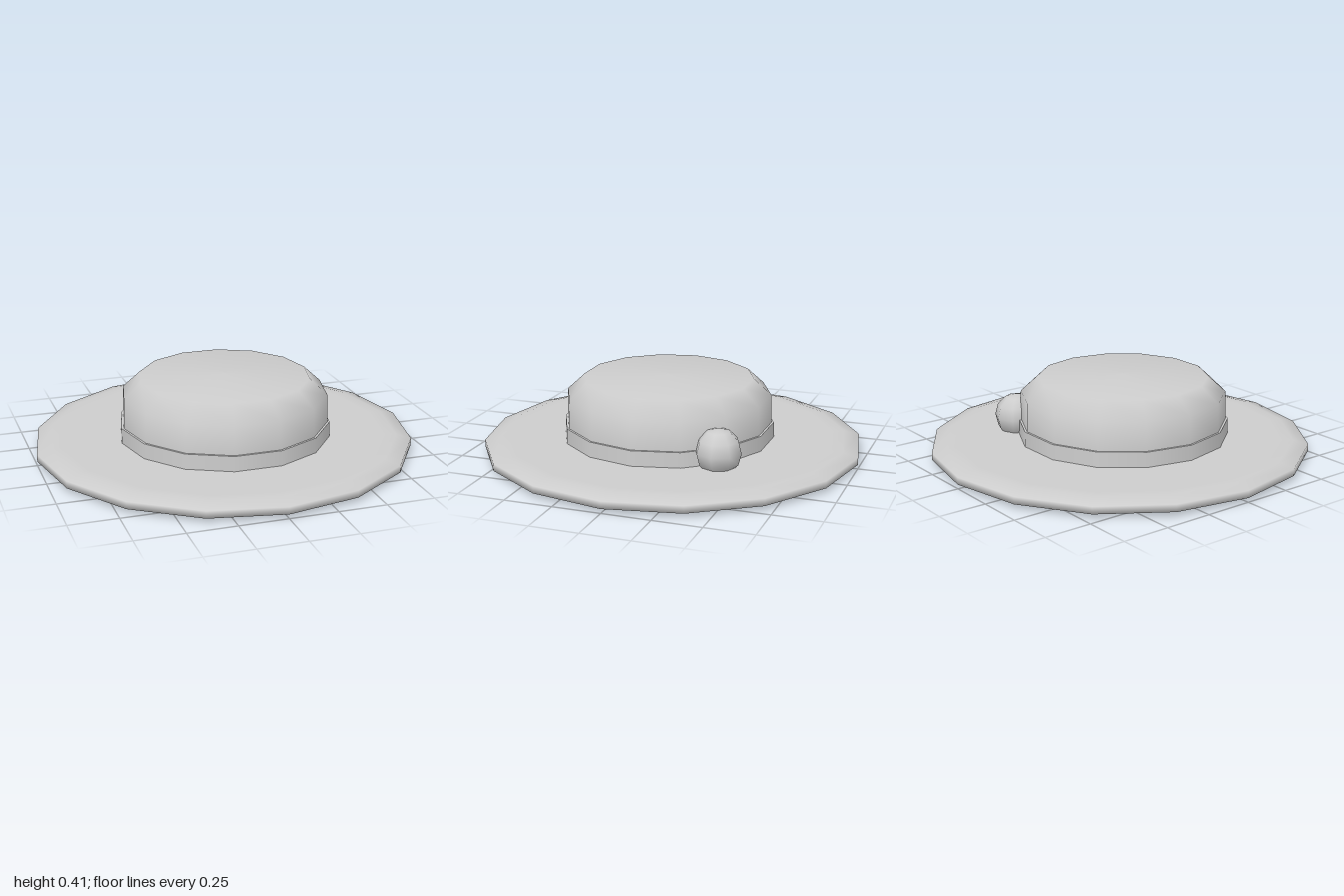
import * as THREE from 'three';

export function createModel() {
  const hat = new THREE.Group();
  hat.name = 'hat';
  const felt = new THREE.MeshStandardMaterial({ color: 0xcccccc });
  felt.name = 'grey felt';

  const add = (name, geometry, x = 0, y = 0, z = 0) => {
    const mesh = new THREE.Mesh(geometry, felt);
    mesh.name = name;
    mesh.position.set(x, y, z);
    hat.add(mesh);
    return mesh;
  };
  // smooth turned shape; the profile runs from bottom to top
  const turn = (profile, sides, start = 0) => new THREE.LatheGeometry(
    profile.map(([r, y]) => new THREE.Vector2(r, y)), sides, start);

  // wide flat brim with a softly bevelled edge
  add('brim', turn([
    [0, 0], [0.86, 0], [0.92, 0], [1, 0.022],
    [1, 0.06], [0.92, 0.08], [0.86, 0.08], [0, 0.08],
  ], 16));

  // band around the foot of the crown
  const crownZ = 0.025;
  add('band', new THREE.CylinderGeometry(0.558, 0.56, 0.09, 14, 1, false, Math.PI / 2),
    0, 0.115, crownZ);

  // low rounded crown
  add('crown', turn([
    [0.547, 0.15], [0.542, 0.31], [0.45, 0.395], [0, 0.408],
  ], 14, Math.PI / 2), 0, 0, crownZ);

  // small round ornament at the back of the left side
  add('ornament', new THREE.SphereGeometry(0.12, 8, 6), 0.405, 0.155, -0.382);

  return hat;
}
